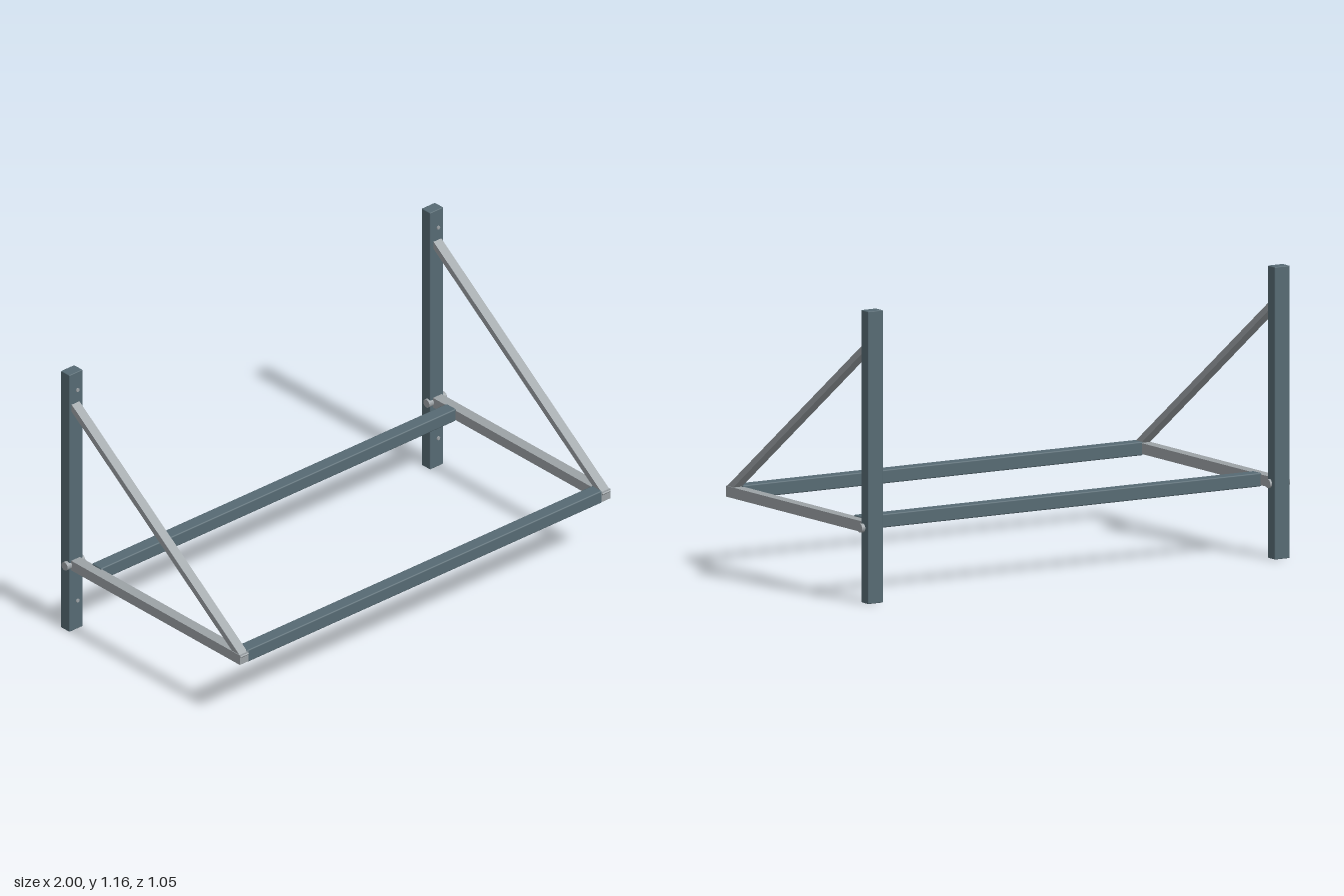
import * as THREE from 'three';
import { RoundedBoxGeometry } from 'three/addons/geometries/RoundedBoxGeometry.js';

export function createModel() {
  const model = new THREE.Group();
  model.name = 'foldingWallFrame';

  const slate = new THREE.MeshStandardMaterial({ color: 0x566a73 });
  slate.name = 'slate paint';
  const steel = new THREE.MeshStandardMaterial({ color: 0x9ca2a6 });
  steel.name = 'bare steel';

  const add = (parent, name, geometry, material, x, y, z) => {
    const mesh = new THREE.Mesh(geometry, material);
    mesh.name = name;
    mesh.position.set(x, y, z);
    parent.add(mesh);
    return mesh;
  };

  // Shared geometries
  const postGeo = new RoundedBoxGeometry(0.07, 1.165, 0.05, 1, 0.003);
  const railGeo = new RoundedBoxGeometry(1.87, 0.054, 0.057, 1, 0.005);
  const armGeo = new THREE.BoxGeometry(0.046, 0.043, 1.0);
  const pinGeo = new THREE.CylinderGeometry(0.018, 0.018, 0.094, 24).rotateZ(Math.PI / 2);
  const screwGeo = new THREE.CylinderGeometry(0.008, 0.008, 0.004, 16).rotateX(Math.PI / 2);

  // Diagonal brace, running from the arm tip up to the post
  const low = new THREE.Vector2(0.515, 0.303); // z, y
  const high = new THREE.Vector2(-0.482, 1.018);
  const run = high.clone().sub(low);
  const braceGeo = new THREE.BoxGeometry(0.041, 0.026, run.length());
  const braceAngle = Math.atan2(run.y, -run.x);

  // Two mirrored side brackets
  for (const side of [-1, 1]) {
    const bracket = new THREE.Group();
    bracket.name = side > 0 ? 'leftBracket' : 'rightBracket';
    model.add(bracket);
    const x = side * 0.953;
    add(bracket, 'post', postGeo, slate, side * 0.95, 0.5825, -0.5);
    add(bracket, 'arm', armGeo, steel, x, 0.299, 0.018);
    add(bracket, 'hingePin', pinGeo, steel, x, 0.299, -0.487);
    const brace = add(bracket, 'brace', braceGeo, steel,
      x, (low.y + high.y) / 2, (low.x + high.x) / 2);
    brace.rotation.x = braceAngle;
    // Small screw heads in front of the post
    for (const y of [0.134, 1.09]) add(bracket, 'screwHead', screwGeo, steel, side * 0.95, y, -0.465);
  }

  // Cross rails between the arms
  add(model, 'frontRail', railGeo, slate, 0, 0.299, 0.487);
  add(model, 'rearRail', railGeo, slate, 0, 0.299, -0.371);

  return model;
}
